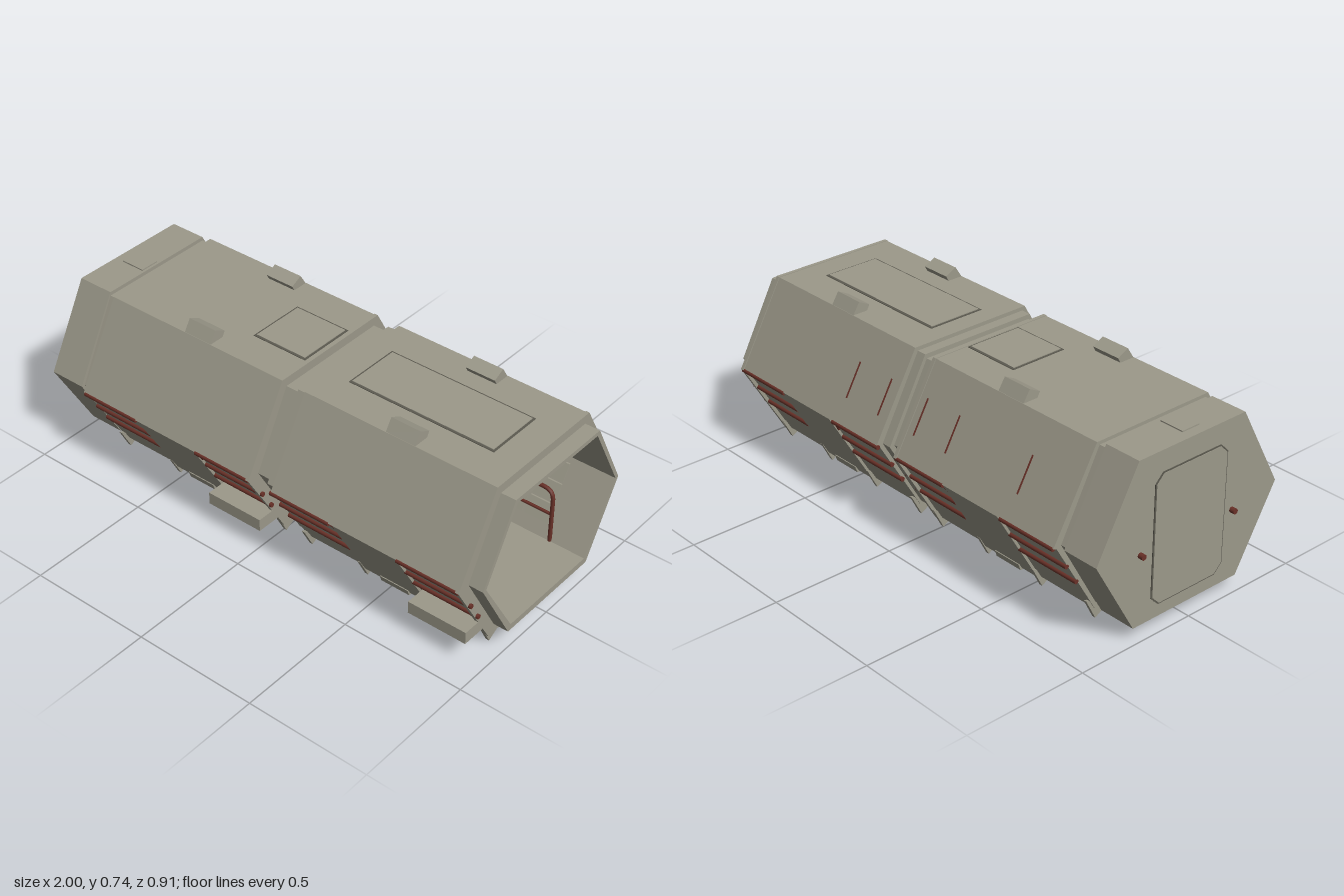
import * as THREE from 'three';

const hullMat = new THREE.MeshStandardMaterial({ color: 0x9c998a });
hullMat.name = 'hull grey';
const redMat = new THREE.MeshStandardMaterial({ color: 0x6a3128 });
redMat.name = 'rail red';
const darkMat = new THREE.MeshStandardMaterial({ color: 0x5c5a50 });
darkMat.name = 'seam grey';

export function createModel() {
  const group = new THREE.Group();

  const add = (name, geo, mat = hullMat) => {
    const mesh = new THREE.Mesh(geo, mat);
    mesh.name = name;
    group.add(mesh);
    return mesh;
  };
  const box = (name, x0, x1, y0, y1, z0, z1, mat) => add(name,
    new THREE.BoxGeometry(x1 - x0, y1 - y0, z1 - z0)
      .translate((x0 + x1) / 2, (y0 + y1) / 2, (z0 + z1) / 2), mat);
  // Cross-sections are [z, y] pairs, extruded along x
  const toVec = (pts) => pts.map(([z, y]) => new THREE.Vector2(-z, y));
  const prism = (name, pts, x0, x1, hole, mat) => {
    const shape = new THREE.Shape(toVec(pts));
    if (hole) shape.holes.push(new THREE.Path(toVec(hole)));
    const geo = new THREE.ExtrudeGeometry(shape, { depth: x1 - x0, bevelEnabled: false });
    return add(name, geo.rotateY(Math.PI / 2).translate(x0, 0, 0), mat);
  };
  const mirror = (half) => [...half, ...half.map(([z, y]) => [-z, y]).reverse()];
  const hex = (w, wTop, wBot, y0, yMid, y1) => mirror([[wTop, y1], [w, yMid], [wBot, y0]]);
  const rod = (name, x0, x1, y, z, r) => add(name,
    new THREE.CylinderGeometry(r, r, x1 - x0, 10).rotateZ(Math.PI / 2)
      .translate((x0 + x1) / 2, y, z), redMat);

  const inner = hex(0.383, 0.232, 0.222, 0.1, 0.365, 0.64);
  const hull = hex(0.45, 0.262, 0.262, 0.04, 0.36, 0.69);
  const collar = hex(0.4, 0.243, 0.235, 0.075, 0.365, 0.657);
  // Lower sides set back behind the rails
  const recessed = mirror([[0.262, 0.69], [0.45, 0.36], [0.435, 0.354], [0.25, 0.04]]);

  // Closed end block and its groove
  prism('endBlock', hex(0.43, 0.25, 0.25, 0.05, 0.362, 0.692), -0.98, -0.83);
  prism('endGroove', hex(0.415, 0.25, 0.25, 0.07, 0.362, 0.677), -0.83, -0.8, inner);

  // Two hull modules: railed, plain and railed bays
  for (const [i, x] of [-0.8, 0.12].entries()) {
    const side = i ? 'front' : 'rear';
    prism(side + 'RailedBayA', recessed, x, x + 0.275, inner);
    prism(side + 'PlainBay', hull, x + 0.275, x + 0.555, inner);
    prism(side + 'RailedBayB', recessed, x + 0.555, x + 0.805, inner);
    prism(side + 'EndFlange', hex(0.454, 0.264, 0.264, 0.038, 0.36, 0.692), x + 0.805, x + 0.82, inner);
  }

  // Joint between the modules and the open collar
  prism('jointGroove', collar, 0.02, 0.08, inner);
  prism('jointRing', hex(0.42, 0.25, 0.25, 0.06, 0.362, 0.675), 0.08, 0.12, inner);
  prism('openCollar', collar, 0.94, 1, inner);

  // Outside rails on both lower sides
  const slopeZ = (y) => 0.25 + (y - 0.04) * (0.185 / 0.314);
  for (const s of [-1, 1]) {
    for (const [x0, x1] of [[-0.8, -0.52], [-0.245, 0.03], [0.11, 0.395], [0.67, 0.95]]) {
      rod('cornerRail', x0 + 0.005, x1 - 0.015, 0.355, s * 0.445, 0.009);
      for (const y of [0.265, 0.187]) rod('sideRail', x0, x1, y, s * (slopeZ(y) + 0.004), 0.009);
    }
  }

  // Bent rail ends at the inner corners of two bays
  for (const s of [-1, 1]) for (const [x, d] of [[-0.24, 1], [0.39, -1]]) {
    const at = (dx, y) => new THREE.Vector3(x + d * dx, y, s * (slopeZ(y) + 0.003));
    const curve = new THREE.QuadraticBezierCurve3(at(0, 0.305), at(0, 0.352), at(0.05, 0.352));
    add('bentRailEnd', new THREE.TubeGeometry(curve, 8, 0.005, 6), redMat);
  }

  // Lifting lugs on the top edges, gussets on the bottom edges
  for (const s of [-1, 1]) {
    const flip = (pts) => pts.map(([z, y]) => [s * z, y]);
    for (const x of [-0.445, 0.475]) {
      prism('liftingLug', flip([[0.262, 0.688], [0.232, 0.735], [0.185, 0.711], [0.198, 0.688]]), x, x + 0.125);
    }
    for (const x of [-0.79, -0.525, -0.245, 0.005, 0.13, 0.39, 0.667, 0.925]) {
      prism('bottomGusset', flip([[0.29, 0.085], [0.245, 0], [0.185, 0.035], [0.2, 0.05]]), x - 0.007, x + 0.007);
    }
    for (const x of [-0.445, 0.475]) {
      prism('bottomPad', flip([[0.278, 0.06], [0.268, 0.033], [0.215, 0.033], [0.215, 0.05]]), x, x + 0.125);
    }
  }

  // Step boxes on the front side
  box('stepBox', -0.225, 0.02, 0.1, 0.15, 0.28, 0.4);
  box('stepBox', 0.695, 0.94, 0.1, 0.15, 0.28, 0.4);

  // Roof hatches: seam plate with the hatch lid on top
  for (const [x0, x1] of [[0.2, 0.82], [-0.24, 0]]) {
    box('hatchSeam', x0, x1, 0.689, 0.692, -0.12, 0.12, darkMat);
    box('hatchLid', x0 + 0.008, x1 - 0.008, 0.689, 0.695, -0.112, 0.112);
  }
  box('roofFitting', -0.94, -0.84, 0.68, 0.697, -0.01, 0.07);

  // Thin red marks on the rear upper side
  for (const x of [-0.57, -0.2, -0.03, 0.17, 0.35]) {
    prism('redMark', [[-0.4, 0.448], [-0.402, 0.449], [-0.332, 0.572], [-0.33, 0.571]], x - 0.003, x + 0.003, null, redMat);
  }

  // Door and knobs on the closed end
  const doorShape = (w, y0, y1, c) => mirror([[w - c, y1], [w, y1 - c], [w, y0 + c], [w - c, y0]]);
  prism('doorSeam', doorShape(0.172, 0.1, 0.61, 0.035), -0.983, -0.979, null, darkMat);
  prism('door', doorShape(0.167, 0.105, 0.605, 0.033), -0.985, -0.979);
  for (const z of [-0.23, 0.21]) rod('doorKnob', -1, -0.97, 0.33, z, 0.011);

  // Inside end wall: door panel and side rings
  prism('innerDoorSeam', doorShape(0.15, 0.12, 0.57, 0.03), -0.831, -0.826, null, darkMat);
  prism('innerDoor', doorShape(0.145, 0.125, 0.565, 0.03), -0.831, -0.823);
  for (const z of [-0.318, 0.318]) {
    add('wallRing', new THREE.TorusGeometry(0.058, 0.004, 6, 32).rotateY(Math.PI / 2)
      .translate(-0.81, 0.362, z), redMat);
  }

  // Inside guard frames and shelving on both walls
  for (const s of [-1, 1]) for (const [x0, x1] of [[-0.7, -0.1], [0.25, 0.85]]) {
    const z = s * 0.225, r = 0.04;
    const path = new THREE.CurvePath();
    const p = (x, y) => new THREE.Vector3(x, y, z);
    path.add(new THREE.LineCurve3(p(x0, 0.1), p(x0, 0.328 - r)));
    path.add(new THREE.QuadraticBezierCurve3(p(x0, 0.328 - r), p(x0, 0.328), p(x0 + r, 0.328)));
    path.add(new THREE.LineCurve3(p(x0 + r, 0.328), p(x1 - r, 0.328)));
    path.add(new THREE.QuadraticBezierCurve3(p(x1 - r, 0.328), p(x1, 0.328), p(x1, 0.328 - r)));
    path.add(new THREE.LineCurve3(p(x1, 0.328 - r), p(x1, 0.1)));
    add('guardFrame', new THREE.TubeGeometry(path, 60, 0.008, 8), redMat);
    rod('guardRail', x0, x1, 0.22, z, 0.006);
    for (let i = 0; i < 5; i++) for (let j = 0; j < 3; j++) {
      const x = x0 + 0.03 + i * 0.11, y = 0.15 + j * 0.068;
      const w = 0.222 + (y - 0.1) * 0.607;
      prism('lockerPanel', [[s * (w + 0.01), y], [s * (w - 0.006), y],
        [s * (w + 0.03), y + 0.06], [s * (w + 0.046), y + 0.06]], x, x + 0.1);
    }
  }

  // Ceiling ribs
  for (let x = -0.7; x < 0.9; x += 0.2) box('ceilingRib', x, x + 0.025, 0.628, 0.645, -0.23, 0.23);

  return group;
}
